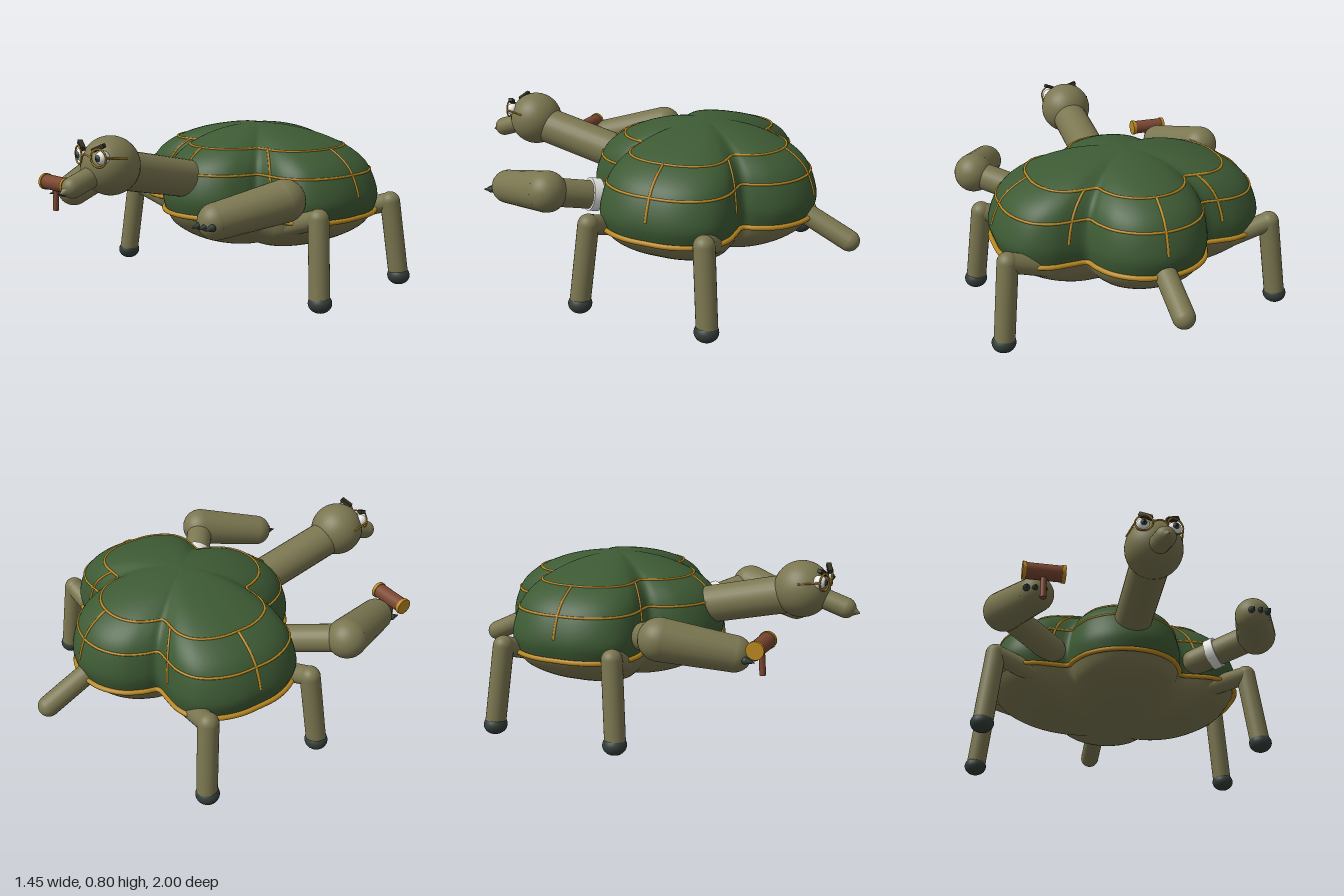
import * as THREE from 'three';

const mat = (name, color) => Object.assign(new THREE.MeshStandardMaterial({ color }), { name });
const V = (x, y, z) => new THREE.Vector3(x, y, z);

export function createModel() {
  const root = new THREE.Group();
  root.name = 'turtle';
  const green = mat('shellGreen', 0x3d5a34);
  const skin = mat('skinOlive', 0x7a7650);
  const gold = mat('brass', 0xb8871f);
  const dark = mat('clawDark', 0x323c37);
  const brown = mat('malletBrown', 0x7a4630);
  const white = mat('bandWhite', 0xe6e6e2);
  const black = mat('pupilBlack', 0x10140f);
  const brow = mat('browDark', 0x33301f);

  const add = (name, geo, material, pos, parent = root) => {
    const m = new THREE.Mesh(geo, material);
    m.name = name;
    if (pos) m.position.copy(pos);
    parent.add(m);
    return m;
  };
  // Aim a mesh's y axis from a to b, centred between them
  const span = (m, a, b) => {
    m.position.copy(a).lerp(b, 0.5);
    m.quaternion.setFromUnitVectors(V(0, 1, 0), b.clone().sub(a).normalize());
    return m;
  };
  const limb = (name, a, b, r, material = skin, parent = root) =>
    span(add(name, new THREE.CapsuleGeometry(r, a.distanceTo(b), 10, 24), material, null, parent), a, b);
  const rod = (name, a, b, r0, r1, material, parent = root) =>
    span(add(name, new THREE.CylinderGeometry(r1, r0, a.distanceTo(b), 24), material, null, parent), a, b);

  // Four-lobed plan outline, mirrored from one quadrant
  const quad = [[0.64, 0], [0.635, 0.1], [0.6, 0.2], [0.54, 0.275], [0.45, 0.312],
    [0.36, 0.312], [0.285, 0.315], [0.265, 0.37], [0.215, 0.46], [0.12, 0.53], [0, 0.555]];
  const half = [...quad, ...quad.slice(0, -1).reverse().map(([x, z]) => [-x, z])];
  const full = [...half, ...half.slice(1, -1).reverse().map(([x, z]) => [x, -z])];
  const outline = new THREE.CatmullRomCurve3(full.map(([x, z]) => V(x, 0, z)), true);
  const CZ = -0.22;
  const at = (t, r, y) => {
    const p = outline.getPoint(((t % 1) + 1) % 1);
    return V(p.x * r, y, p.z * r + CZ);
  };
  const domeCurve = new THREE.SplineCurve([[0.97, 0.38], [1, 0.46], [0.95, 0.56], [0.87, 0.63], [0.72, 0.69],
    [0.5, 0.74], [0.25, 0.77], [0, 0.78]].map(p => new THREE.Vector2(...p)));
  const bellyCurve = new THREE.SplineCurve([[0, 0.17], [0.35, 0.185], [0.65, 0.23], [0.88, 0.305], [0.97, 0.38]]
    .map(p => new THREE.Vector2(...p)));

  // Skin the outline along a profile running from bottom to top
  const loft = (profile, rows) => {
    const n = 160, pos = [], idx = [];
    for (let j = 0; j <= rows; j++) {
      const p = profile.getPoint(j / rows);
      for (let i = 0; i < n; i++) pos.push(...at(i / n, p.x, p.y).toArray());
    }
    for (let j = 0; j < rows; j++) for (let i = 0; i < n; i++) {
      const k = (i + 1) % n, a = j * n + i, b = j * n + k, c = a + n, d = b + n;
      idx.push(a, c, b, b, c, d);
    }
    const g = new THREE.BufferGeometry();
    g.setAttribute('position', new THREE.Float32BufferAttribute(pos, 3));
    g.setIndex(idx);
    g.computeVertexNormals();
    return g;
  };
  add('shellDome', loft(domeCurve, 36), green);
  add('belly', loft(bellyCurve, 24), skin);

  // Brass rim and shell seams
  const ring = (name, r, y, thick) => {
    const pts = Array.from({ length: 120 }, (_, i) => at(i / 120, r, y));
    add(name, new THREE.TubeGeometry(new THREE.CatmullRomCurve3(pts, true), 240, thick, 8, true), gold);
  };
  ring('rim', 0.985, 0.38, 0.012);
  for (const [name, t] of [['lowerSeam', 0.32], ['upperSeam', 4 / 7]]) {
    const p = domeCurve.getPoint(t);
    ring(name, p.x, p.y, 0.006);
  }
  const corner = 4.9 / 40;
  for (const t of [0, 0.25, 0.5, 0.75, corner, 0.5 - corner, 0.5 + corner, 1 - corner]) {
    const pts = [];
    for (let i = 0; i <= 12; i++) {
      const p = domeCurve.getPoint(0.17 + (4 / 7 - 0.17) * i / 12);
      pts.push(at(t, p.x, p.y));
    }
    add('radialSeam', new THREE.TubeGeometry(new THREE.CatmullRomCurve3(pts), 30, 0.006, 8), gold);
  }

  // Legs and arms on both sides
  for (const s of [1, -1]) {
    for (const [name, hipZ, kneeZ, footZ] of [['front', 0.02, 0.065, 0.095], ['back', -0.46, -0.49, -0.525]]) {
      const leg = new THREE.Group();
      leg.name = name + (s > 0 ? 'LeftLeg' : 'RightLeg');
      root.add(leg);
      const knee = V(s * 0.63, 0.42, kneeZ);
      limb('thigh', V(s * 0.42, 0.345, hipZ), knee, 0.046, skin, leg);
      limb('shin', knee, V(s * 0.668, 0.068, footZ), 0.048, skin, leg);
      add('foot', new THREE.SphereGeometry(0.055, 24, 16), dark, V(s * 0.672, 0.046, footZ), leg)
        .scale.y = 0.83;
    }
    const arm = new THREE.Group();
    arm.name = s > 0 ? 'leftArm' : 'rightArm';
    root.add(arm);
    const elbow = V(s * 0.615, 0.535, 0.285);
    limb('upperArm', V(s * 0.36, 0.46, 0.08), elbow, 0.066, skin, arm);
    const hand = V(s * 0.495, 0.475, 0.575);
    rod('forearm', elbow, hand, 0.095, 0.08, skin, arm);
    add('elbow', new THREE.SphereGeometry(0.095, 28, 20), skin, elbow, arm);
    add('hand', new THREE.SphereGeometry(0.08, 28, 20), skin, hand, arm);
    for (const dx of [-0.037, 0, 0.037]) {
      const x = s * 0.505 + dx;
      add('knuckle', new THREE.SphereGeometry(0.016, 14, 10), dark, V(x, 0.465, 0.642), arm);
      rod('claw', V(x, 0.465, 0.645), V(x, 0.46, 0.685), 0.015, 0.001, dark, arm);
    }
  }
  rod('armBand', V(0.425, 0.482, 0.128), V(0.46, 0.492, 0.157), 0.077, 0.077, white);

  // Mallet in the right hand
  const mallet = new THREE.Group();
  mallet.name = 'mallet';
  root.add(mallet);
  const hx = x => V(x, 0.52, 0.69);
  rod('malletHead', hx(-0.565), hx(-0.385), 0.036, 0.036, brown, mallet);
  for (const x of [-0.56, -0.39]) rod('malletBand', hx(x - 0.008), hx(x + 0.008), 0.04, 0.04, gold, mallet);
  rod('malletHandle', V(-0.475, 0.39, 0.70), hx(-0.475), 0.014, 0.014, brown, mallet);

  // Tail, neck, head and beak
  limb('tail', V(0, 0.395, -0.72), V(0, 0.285, -0.95), 0.05);
  limb('neck', V(0, 0.54, 0.22), V(0, 0.64, 0.66), 0.09);
  add('head', new THREE.SphereGeometry(0.131, 40, 28), skin, V(0, 0.67, 0.73));
  limb('snout', V(0, 0.635, 0.83), V(0, 0.6, 0.935), 0.047);
  rod('beakTip', V(0, 0.592, 0.955), V(0, 0.58, 1), 0.034, 0.002, skin);

  // Eyes, brows and spectacles
  for (const s of [1, -1]) {
    add('eye', new THREE.SphereGeometry(0.031, 24, 16), white, V(s * 0.07, 0.722, 0.826));
    add('pupil', new THREE.SphereGeometry(0.018, 20, 14), dark, V(s * 0.071, 0.722, 0.844));
    add('pupilCentre', new THREE.SphereGeometry(0.009, 14, 10), black, V(s * 0.071, 0.722, 0.855));
    add('spectacleRim', new THREE.TorusGeometry(0.039, 0.004, 8, 36), gold, V(s * 0.07, 0.722, 0.848))
      .rotation.y = s * 0.3;
    rod('spectacleArm', V(s * 0.107, 0.725, 0.838), V(s * 0.126, 0.715, 0.74), 0.004, 0.004, gold);
    const b = add('brow', new THREE.BoxGeometry(0.062, 0.018, 0.022), brow, V(s * 0.06, 0.764, 0.838));
    b.rotation.set(0, s * 0.4, s * 0.42);
  }
  const bridge = new THREE.QuadraticBezierCurve3(V(-0.033, 0.722, 0.86), V(0, 0.745, 0.872), V(0.033, 0.722, 0.86));
  add('spectacleBridge', new THREE.TubeGeometry(bridge, 14, 0.004, 8), gold);

  return root;
}
